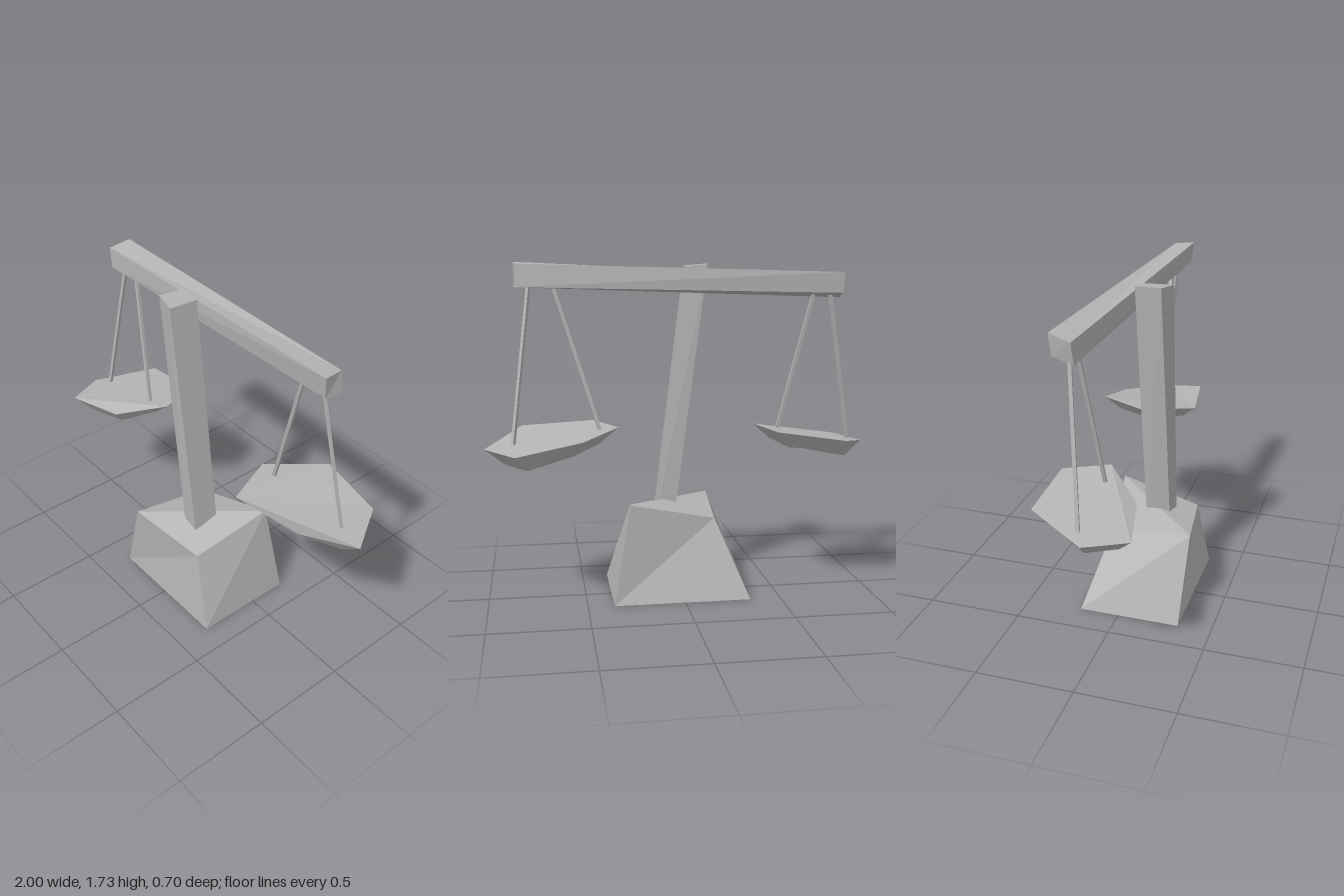
import * as THREE from 'three';

const stone = new THREE.MeshStandardMaterial({ color: 0xb4b4b4, flatShading: true });
stone.name = 'grey';

// Closed faceted solid between two rings, both counter-clockwise seen from above
function loft(name, bottom, top) {
  const pos = [];
  const n = bottom.length;
  const tri = (...corners) => corners.forEach((c) => pos.push(...c));
  for (let i = 0; i < n; i++) {
    const j = (i + 1) % n;
    tri(bottom[i], bottom[j], top[j]);
    tri(bottom[i], top[j], top[i]);
  }
  for (let i = 1; i < n - 1; i++) {
    tri(top[0], top[i], top[i + 1]);
    tri(bottom[0], bottom[i + 1], bottom[i]);
  }
  const geo = new THREE.BufferGeometry();
  geo.setAttribute('position', new THREE.Float32BufferAttribute(pos, 3));
  geo.computeVertexNormals();
  const mesh = new THREE.Mesh(geo, stone);
  mesh.name = name;
  return mesh;
}

// Shallow pan: the rim shrinks towards its centre and drops to form the underside
function pan(name, rim, cx, cz) {
  const under = rim.map(([x, y, z]) => [cx + (x - cx) * 0.7, y - 0.08, cz + (z - cz) * 0.7]);
  return loft(name, under, rim);
}

// Thin four-sided rod between two points
function rod(name, from, to) {
  const a = new THREE.Vector3(...from);
  const b = new THREE.Vector3(...to);
  const dir = b.clone().sub(a);
  const mesh = new THREE.Mesh(new THREE.CylinderGeometry(0.012, 0.012, dir.length(), 4), stone);
  mesh.position.copy(a).add(b).multiplyScalar(0.5);
  mesh.quaternion.setFromUnitVectors(new THREE.Vector3(0, 1, 0), dir.normalize());
  mesh.name = name;
  return mesh;
}

export function createModel() {
  const model = new THREE.Group();
  model.name = 'balanceScale';

  // Rough stone base with a creased top
  model.add(loft('base',
    [[-0.34, 0, 0.325], [0.365, 0, 0.325], [0.365, 0, -0.205], [-0.34, 0, -0.205]],
    [[-0.2, 0.46, 0.345], [0.235, 0.41, 0.28], [0.275, 0.51, -0.155], [-0.17, 0.41, -0.08]]));

  // Leaning post, sunk slightly into the base
  model.add(loft('post',
    [[0.015, 0.4, 0.18], [0.115, 0.4, 0.19], [0.12, 0.4, 0.05], [0.02, 0.4, 0.05]],
    [[-0.17, 1.725, 0.17], [-0.05, 1.715, 0.2], [-0.045, 1.71, 0.045], [-0.15, 1.72, 0.035]]));

  // Tilted beam behind the post
  model.add(loft('beam',
    [[-0.84, 1.55, -0.015], [0.83, 1.62, 0.06], [0.835, 1.605, -0.035], [-0.825, 1.575, -0.12]],
    [[-0.86, 1.655, -0.02], [0.84, 1.73, 0.075], [0.825, 1.72, -0.03], [-0.835, 1.68, -0.13]]));

  // Pans
  model.add(pan('leftPan', [
    [0.435, 0.9, 0.2], [0.81, 0.89, 0.14], [1, 0.805, -0.08],
    [0.845, 0.805, -0.335], [0.52, 0.875, -0.355], [0.325, 0.9, -0.07],
  ], 0.655, -0.08));
  model.add(pan('rightPan', [
    [-0.91, 0.79, 0.255], [-0.595, 0.815, 0.185], [-0.385, 0.895, -0.01],
    [-0.47, 0.88, -0.235], [-0.82, 0.83, -0.25], [-1, 0.78, 0.05],
  ], -0.695, 0));

  // Hanging rods
  model.add(
    rod('rightOuterRod', [-0.775, 1.58, -0.06], [-0.91, 0.78, 0.01]),
    rod('rightInnerRod', [-0.69, 1.58, -0.06], [-0.52, 0.86, 0.005]),
    rod('leftInnerRod', [0.65, 1.63, 0.005], [0.42, 0.89, -0.065]),
    rod('leftOuterRod', [0.76, 1.63, 0.005], [0.855, 0.83, -0.1]),
  );
  return model;
}
